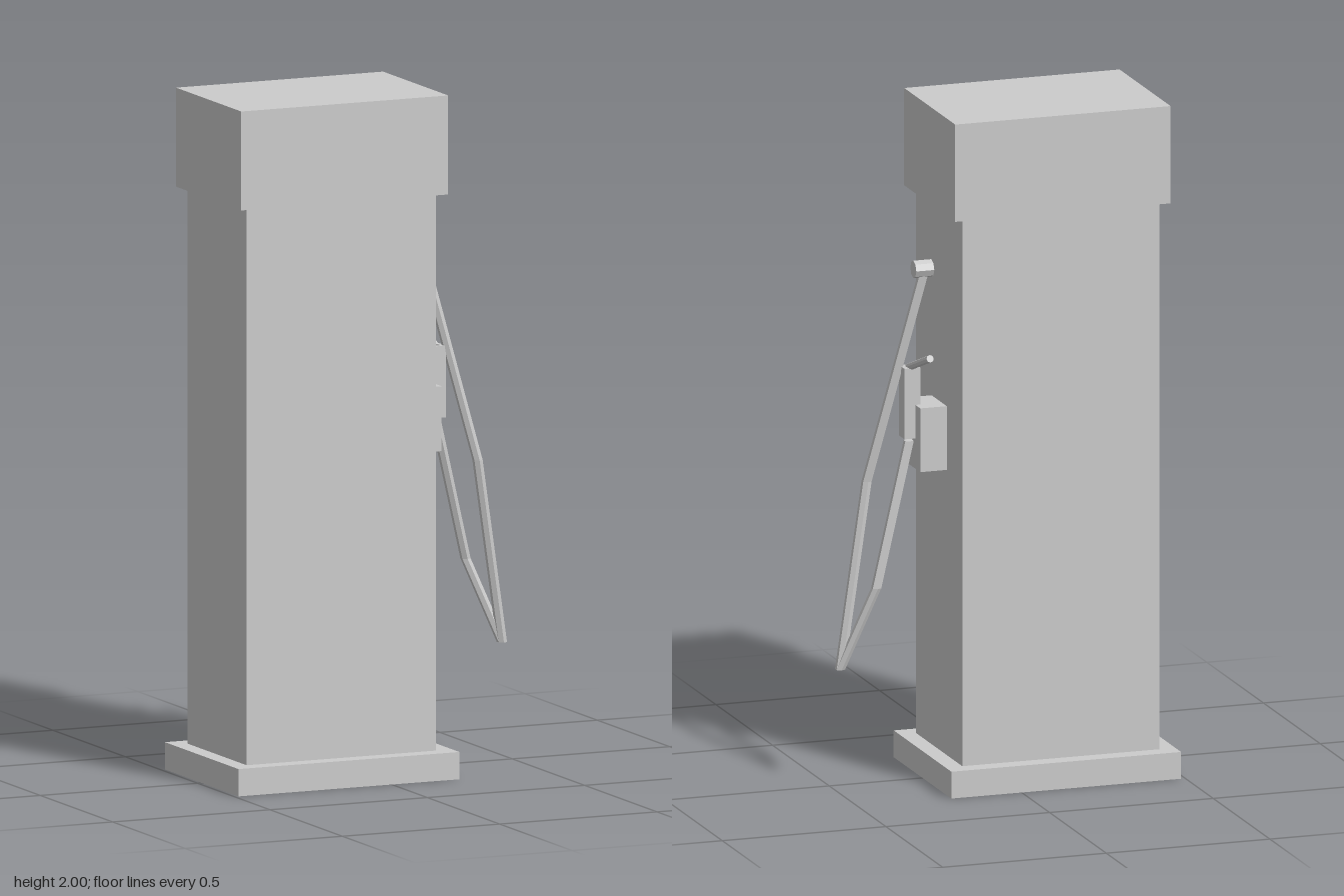
import * as THREE from 'three';

const material = new THREE.MeshStandardMaterial({ color: 0xcccccc });
const flat = new THREE.MeshStandardMaterial({ color: 0xcccccc, flatShading: true });

// Box given by its [min, max] on each axis
function box(name, [x0, x1], [y0, y1], [z0, z1]) {
  const mesh = new THREE.Mesh(new THREE.BoxGeometry(x1 - x0, y1 - y0, z1 - z0), material);
  mesh.position.set((x0 + x1) / 2, (y0 + y1) / 2, (z0 + z1) / 2);
  mesh.name = name;
  return mesh;
}

// Straight rod between two points
function rod(name, a, b, radius, sides) {
  const start = new THREE.Vector3(...a), end = new THREE.Vector3(...b);
  const dir = end.clone().sub(start);
  const mesh = new THREE.Mesh(new THREE.CylinderGeometry(radius, radius, dir.length(), sides), flat);
  mesh.position.copy(start).add(end).multiplyScalar(0.5);
  mesh.quaternion.setFromUnitVectors(new THREE.Vector3(0, 1, 0), dir.normalize());
  mesh.name = name;
  return mesh;
}

// Hose limb: a cylinder whose level rings are moved onto points listed from top to bottom
function hoseLimb(name, points, radius) {
  const n = points.length - 1;
  const geometry = new THREE.CylinderGeometry(radius, radius, 1, 6, n);
  const pos = geometry.attributes.position;
  for (let i = 0; i < pos.count; i++) {
    const [x, y, z] = points[Math.round((0.5 - pos.getY(i)) * n)];
    pos.setXYZ(i, pos.getX(i) + x, y, pos.getZ(i) + z);
  }
  geometry.computeVertexNormals();
  const mesh = new THREE.Mesh(geometry, flat);
  mesh.name = name;
  return mesh;
}

export function createModel() {
  const model = new THREE.Group();
  model.name = 'fuelPump';

  // Cabinet
  model.add(
    box('base', [-0.487, 0.215], [0, 0.08], [-0.254, 0.254]),
    box('cabinet', [-0.438, 0.164], [0.08, 1.71], [-0.204, 0.204]),
    box('head', [-0.465, 0.193], [1.71, 2], [-0.225, 0.225])
  );

  // Nozzle resting in its holder on the side
  const nozzle = new THREE.Group();
  nozzle.name = 'nozzle';
  nozzle.add(
    box('nozzleHandle', [0.23, 0.278], [1.02, 1.23], [-0.024, 0.024]),
    rod('spout', [0.255, 1.225, 0.01], [0.255, 1.297, -0.183], 0.011, 8)
  );
  model.add(box('nozzleHolder', [0.164, 0.245], [0.93, 1.12], [-0.067, 0.067]), nozzle);

  // Hose hanging in a loop from its connector back up to the nozzle
  const hose = new THREE.Group();
  hose.name = 'hose';
  const tip = [0.467, 0.345, 0];
  hose.add(
    rod('hoseConnector', [0.188, 1.518, 0], [0.243, 1.518, 0], 0.026, 8),
    hoseLimb('outerHose', [[0.214, 1.5, 0], [0.374, 0.89, 0.034], tip], 0.015),
    hoseLimb('innerHose', [[0.257, 1.01, 0], [0.372, 0.59, -0.045], tip], 0.015)
  );
  model.add(hose);

  return model;
}
